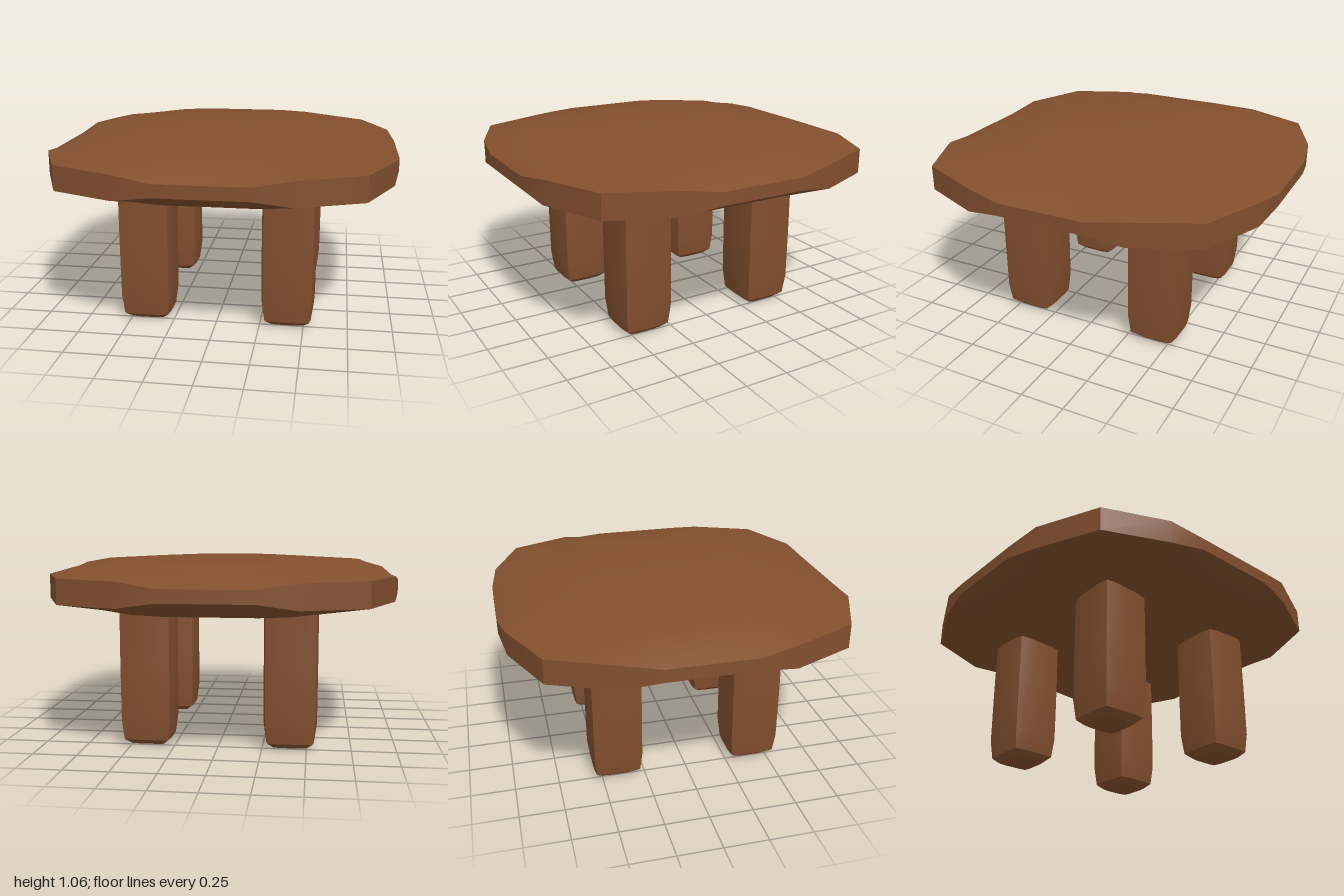
import * as THREE from 'three';
import { toCreasedNormals } from 'three/addons/utils/BufferGeometryUtils.js';

const wood = new THREE.MeshStandardMaterial({ color: 0x824f2e });

// Expands one eighth of an outline, [x, z, y] from side to corner, into a full ring
function ring(eighth) {
  const mirrored = eighth.slice(0, -1).reverse().map(([x, z, y]) => [z, x, y]);
  const quarter = [...eighth, ...mirrored];
  const points = [];
  for (let k = 0; k < 4; k++) {
    for (let [x, z, y] of quarter) {
      for (let t = 0; t < k; t++) [x, z] = [-z, x];
      points.push(new THREE.Vector3(x, y, z));
    }
  }
  return points;
}

// Joins rings from bottom to top and closes both ends with a fan
function loft(rings, bottomY, topY, crease) {
  const n = rings[0].length;
  const position = [];
  const tri = (...corners) => corners.forEach((p) => position.push(p.x, p.y, p.z));
  const bottom = new THREE.Vector3(0, bottomY, 0);
  const top = new THREE.Vector3(0, topY, 0);
  const last = rings[rings.length - 1];
  for (let i = 0; i < n; i++) {
    const j = (i + 1) % n;
    tri(bottom, rings[0][i], rings[0][j]);
    for (let r = 0; r < rings.length - 1; r++) {
      const low = rings[r], up = rings[r + 1];
      tri(low[i], up[i], low[j]);
      tri(low[j], up[i], up[j]);
    }
    tri(top, last[j], last[i]);
  }
  const geometry = new THREE.BufferGeometry();
  geometry.setAttribute('position', new THREE.Float32BufferAttribute(position, 3));
  return toCreasedNormals(geometry, crease);
}

// Tabletop: domed above and below, with a narrow faceted rim
function tabletopGeometry() {
  const midY = 0.905;
  const half = [
    [[1, 0.25, 0.036], [0.967, 0.46, 0.068], [0.813, 0.813, 0.07]],
    [[0.81, 0.25, 0.125], [0.78, 0.42, 0.121], [0.62, 0.62, 0.117]],
    [[0.46, 0.15, 0.147], [0.44, 0.25, 0.145], [0.37, 0.37, 0.143]],
  ];
  const level = (sign) => half.map((e) => ring(e.map(([x, z, h]) => [x, z, midY + sign * h])));
  return loft([...level(-1).reverse(), ...level(1)], 0.75, 1.06, 0.55);
}

// Leg: square post with slightly bulging sides and a chamfered foot
function legGeometry() {
  const section = (side, corner, y) => ring([[side, 0, y], [side, corner * 0.55, y], [corner, corner, y]]);
  return loft([
    section(0.098, 0.092, 0.006),
    section(0.135, 0.126, 0.038),
    section(0.15, 0.138, 0.15),
    section(0.151, 0.139, 0.45),
    section(0.15, 0.138, 0.82),
  ], 0, 0.82, 0.45);
}

export function createModel() {
  const table = new THREE.Group();
  table.name = 'table';

  const tabletop = new THREE.Mesh(tabletopGeometry(), wood);
  tabletop.name = 'tabletop';
  table.add(tabletop);

  const legShape = legGeometry();
  for (const [side, x] of [['Left', 0.407], ['Right', -0.407]]) {
    for (const [end, z] of [['front', 0.41], ['back', -0.407]]) {
      const leg = new THREE.Mesh(legShape, wood);
      leg.name = `${end}${side}Leg`;
      leg.position.set(x, 0, z);
      table.add(leg);
    }
  }
  return table;
}
